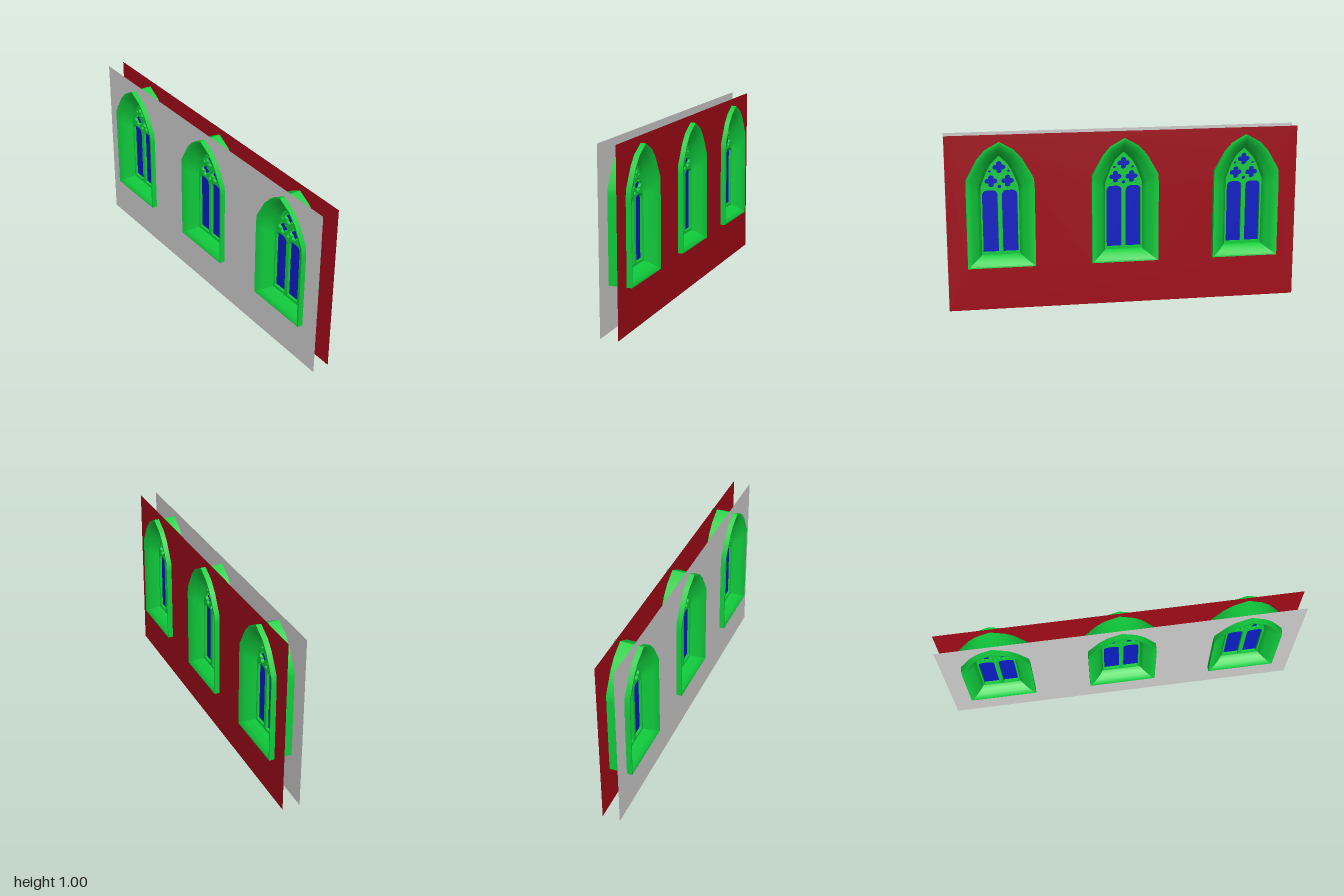
import * as THREE from 'three';
import { toCreasedNormals } from 'three/addons/utils/BufferGeometryUtils.js';

const stone = new THREE.MeshStandardMaterial({ color: 0x10cc3c, side: THREE.DoubleSide });
const blue = new THREE.MeshStandardMaterial({ color: 0x0c1cc4, side: THREE.DoubleSide });
const red = new THREE.MeshStandardMaterial({ color: 0xa00a18, side: THREE.DoubleSide });
const grey = new THREE.MeshStandardMaterial({ color: 0xcccccc, side: THREE.DoubleSide });

// Right half of an outline, mirrored into a closed counter-clockwise arch
function arch(half) {
  const left = half.slice(0, -1).reverse().map(([x, y]) => [-x, y]);
  return [...half, ...left].map(([x, y]) => new THREE.Vector2(x, y));
}
const outer = arch([[0.19, 0.25], [0.19, 0.70], [0.187, 0.755], [0.125, 0.865], [0.08, 0.915], [0, 0.96]]);
const inner = arch([[0.107, 0.31], [0.107, 0.66], [0.106, 0.70], [0.073, 0.785], [0.047, 0.83], [0, 0.875]]);

function named(name, geometry, material) {
  const mesh = new THREE.Mesh(geometry, material);
  mesh.name = name;
  return mesh;
}

// Splayed surround: rings blended from the outer to the inner arch, front and back alike
function surroundGeometry() {
  const front = [[1, 0.01], [0.76, 0.036], [0.45, 0.058], [0.12, 0.079], [0, 0.08]];
  const back = front.slice().reverse().map(([t, z]) => [t, -z]);
  const rings = [...front, ...back];
  const n = outer.length;
  const positions = [];
  const index = [];
  rings.forEach(([t, z]) => {
    for (let i = 0; i < n; i++) {
      const p = outer[i].clone().lerp(inner[i], t);
      positions.push(p.x, p.y, z);
    }
  });
  for (let r = 0; r < rings.length; r++) {
    for (let i = 0; i < n; i++) {
      const j = (i + 1) % n;
      const s = (r + 1) % rings.length;
      const a = r * n + i, b = r * n + j, c = s * n + j, d = s * n + i;
      index.push(a, d, c, a, c, b);
    }
  }
  const geometry = new THREE.BufferGeometry();
  geometry.setAttribute('position', new THREE.Float32BufferAttribute(positions, 3));
  geometry.setIndex(index);
  return toCreasedNormals(geometry, 0.75);
}

// Four-lobed opening
function quatrefoil(x, y) {
  const points = [];
  const limit = 1.93;
  for (let k = 0; k < 4; k++) {
    const a = k * Math.PI / 2;
    for (let i = 0; i < 10; i++) {
      const b = a - limit + 2 * limit * i / 10;
      points.push(new THREE.Vector2(
        x + 0.02 * Math.cos(a) + 0.0155 * Math.cos(b),
        y + 0.02 * Math.sin(a) + 0.0155 * Math.sin(b)));
    }
  }
  return new THREE.Path(points);
}

function eyelet(x, y, r) {
  return new THREE.Path().absarc(x, y, r, 0, Math.PI * 2);
}

// Tall opening with rounded upper corners
function light(side) {
  const a = side * 0.012, b = side * 0.098, r = side * 0.03;
  const path = new THREE.Path();
  path.moveTo(a, 0.325);
  path.lineTo(b, 0.325);
  path.lineTo(b, 0.65);
  path.quadraticCurveTo(b, 0.68, b - r, 0.681);
  path.lineTo(a + r, 0.681);
  path.quadraticCurveTo(a, 0.68, a, 0.65);
  path.closePath();
  return path;
}

// Pierced stone screen
function traceryGeometry() {
  const shape = new THREE.Shape(inner);
  shape.holes.push(quatrefoil(0, 0.81), eyelet(0, 0.70, 0.011));
  for (const side of [-1, 1]) {
    shape.holes.push(light(side), quatrefoil(side * 0.046, 0.732), eyelet(side * 0.052, 0.788, 0.008));
  }
  const geometry = new THREE.ExtrudeGeometry(shape, { depth: 0.03, bevelEnabled: false, curveSegments: 8 });
  return geometry.translate(0, 0, -0.015);
}

export function createModel() {
  const model = new THREE.Group();
  model.name = 'windowWall';
  const centres = [-0.7, 0, 0.7];

  // Two thin wall faces with arched openings
  const wall = new THREE.Shape([[-1, 0], [1, 0], [1, 1], [-1, 1]].map(p => new THREE.Vector2(...p)));
  centres.forEach(x => wall.holes.push(new THREE.Path(outer.map(p => new THREE.Vector2(p.x + x, p.y)))));
  const face = new THREE.ShapeGeometry(wall);
  model.add(named('frontWall', face.clone().translate(0, 0, 0.05), grey));
  model.add(named('backWall', face.clone().rotateY(Math.PI).translate(0, 0, -0.05), red));

  // Three identical windows
  const surround = surroundGeometry();
  const tracery = traceryGeometry();
  const glass = new THREE.ShapeGeometry(new THREE.Shape(inner));
  centres.forEach(x => {
    const unit = new THREE.Group();
    unit.name = 'window';
    unit.position.x = x;
    unit.add(named('surround', surround, stone), named('tracery', tracery, stone), named('glass', glass, blue));
    model.add(unit);
  });
  return model;
}
